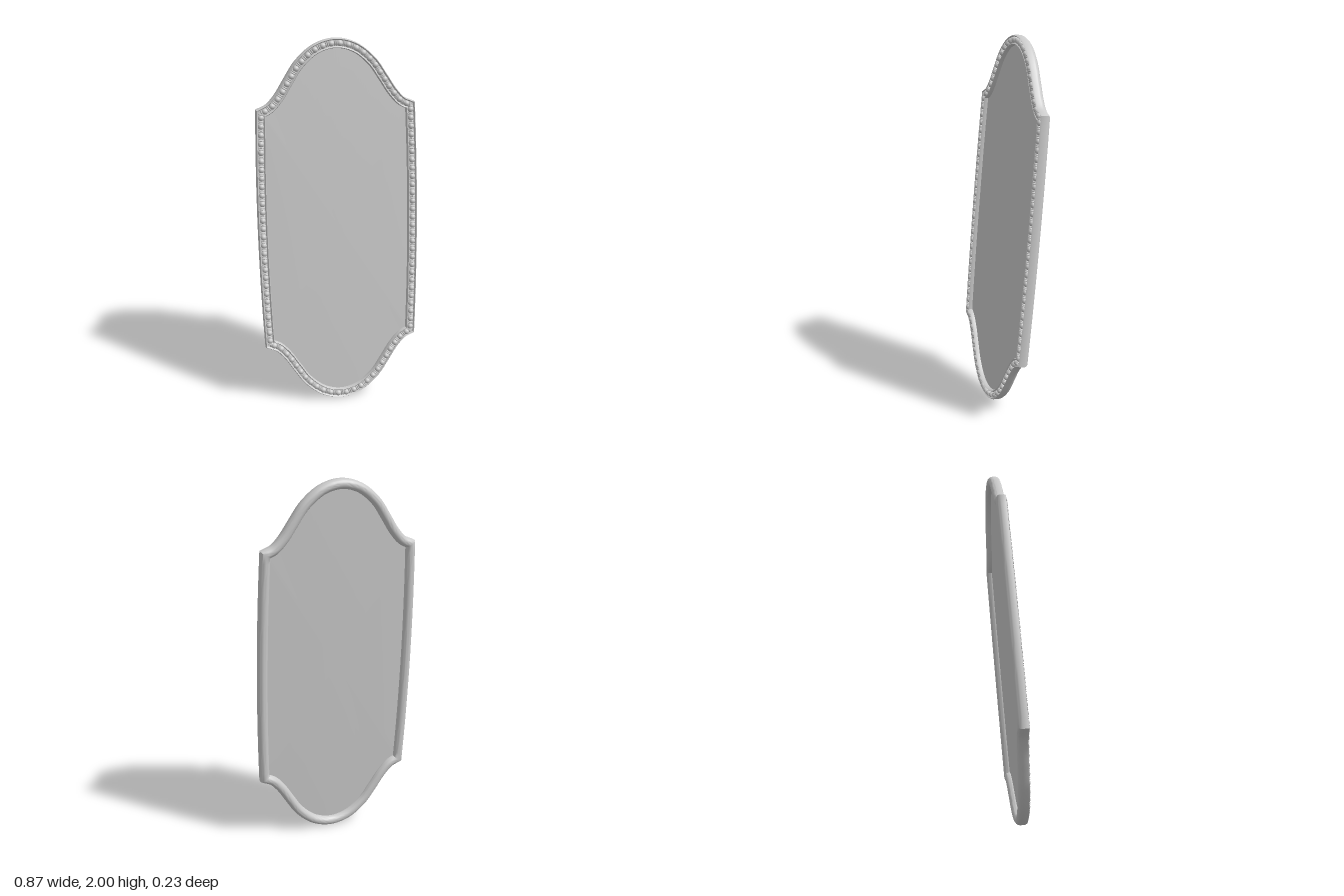
import * as THREE from 'three';
import { mergeGeometries, toCreasedNormals } from 'three/addons/utils/BufferGeometryUtils.js';

const V = (x, y) => new THREE.Vector3(x, y, 0);
const grey = () => new THREE.MeshStandardMaterial({ color: 0xcccccc });

// Centre line of the frame: bowed side and ogee arch; the other half is turned 180 degrees
const side = new THREE.QuadraticBezierCurve3(V(0.396, -0.637), V(0.422, 0), V(0.396, 0.637));
const half = [[0.396, 0.637], [0.35, 0.659], [0.3, 0.713], [0.25, 0.79], [0.19, 0.877], [0.1, 0.95]];
const arch = new THREE.CatmullRomCurve3([
  ...half.map(([x, y]) => V(x, y)),
  V(0, 0.975),
  ...half.slice().reverse().map(([x, y]) => V(-x, y)),
]);

function outline() {
  const pts = [
    ...side.getSpacedPoints(30).slice(0, -1),
    ...arch.getSpacedPoints(72).slice(0, -1),
  ];
  return [...pts, ...pts.map((p) => V(-p.x, -p.y))];
}

// Sweeps a closed profile (u outward, w forward) round the outline with mitred corners
function sweep(loop, profile) {
  const n = loop.length, m = profile.length, pos = [], index = [];
  for (let i = 0; i < n; i++) {
    const a = loop[i].clone().sub(loop[(i + n - 1) % n]).normalize();
    const b = loop[(i + 1) % n].clone().sub(loop[i]).normalize();
    const miter = V(a.y + b.y, -a.x - b.x).divideScalar(1 + a.dot(b));
    for (const [u, w] of profile) {
      pos.push(loop[i].x + miter.x * u, loop[i].y + miter.y * u, w);
    }
    for (let j = 0; j < m; j++) {
      const p = i * m + j, q = ((i + 1) % n) * m + j;
      const p2 = i * m + (j + 1) % m, q2 = ((i + 1) % n) * m + (j + 1) % m;
      index.push(p, q, p2, q, q2, p2);
    }
  }
  const g = new THREE.BufferGeometry();
  g.setAttribute('position', new THREE.Float32BufferAttribute(pos, 3));
  g.setIndex(index);
  return toCreasedNormals(g, 0.8);
}

// Shallow domed sheet filling the outline; dir = 1 faces forward, -1 backward
function dome(loop, dir) {
  const n = loop.length, rings = 8, pos = [0, 0, dir * 0.01], index = [];
  for (let k = 1; k <= rings; k++) {
    const s = k / rings;
    for (const p of loop) pos.push(p.x * s, p.y * s, dir * (0.002 + 0.008 * (1 - s * s)));
  }
  const tri = (a, b, c) => (dir > 0 ? index.push(a, b, c) : index.push(a, c, b));
  for (let i = 0; i < n; i++) {
    const i2 = (i + 1) % n;
    tri(0, 1 + i, 1 + i2);
    for (let k = 0; k < rings - 1; k++) {
      const a = 1 + k * n, b = a + n;
      tri(a + i, b + i, b + i2);
      tri(a + i, b + i2, a + i2);
    }
  }
  const g = new THREE.BufferGeometry();
  g.setAttribute('position', new THREE.Float32BufferAttribute(pos, 3));
  g.setIndex(index);
  g.computeVertexNormals();
  return g;
}

// Round beads with a pair of thin reels between neighbours
function beading() {
  const parts = [];
  const add = (curve, t, length, radius, turn) => {
    const p = curve.getPointAt(t), d = curve.getTangentAt(t);
    const g = new THREE.SphereGeometry(1, 12, 8);
    g.scale(length, radius, radius);
    g.rotateZ(Math.atan2(d.y, d.x));
    g.translate(p.x, p.y, 0.016);
    if (turn) g.rotateZ(Math.PI);
    parts.push(g);
  };
  for (const curve of [side, arch]) {
    const count = Math.round(curve.getLength() / 0.046);
    for (const turn of [false, true]) {
      for (let i = 0; i < count; i++) {
        add(curve, (i + 0.5) / count, 0.0165, 0.0155, turn);
        for (const e of [0.1, 0.9]) add(curve, (i + e) / count, 0.0045, 0.0145, turn);
      }
    }
  }
  return mergeGeometries(parts);
}

export function createModel() {
  const model = new THREE.Group();
  model.name = 'leaningMirror';
  const body = new THREE.Group();
  body.name = 'mirrorBody';
  const add = (name, geometry) => {
    const mesh = new THREE.Mesh(geometry, grey());
    mesh.name = name;
    body.add(mesh);
  };
  const loop = outline();

  // Frame: rounded back, channel between two lips at the front
  const profile = [[0.025, 0.017], [0.021, 0.024], [0.018, 0.022], [0.015, 0.012],
    [-0.015, 0.012], [-0.018, 0.022], [-0.021, 0.024], [-0.025, 0.017]];
  for (let i = 0; i <= 12; i++) {
    const a = Math.PI + (i / 12) * Math.PI;
    profile.push([0.026 * Math.cos(a), -0.006 + 0.0265 * Math.sin(a)]);
  }
  add('frame', sweep(loop, profile));
  add('beading', beading());

  // Mirror panel, front and back
  add('panelFront', dome(loop, 1));
  add('panelBack', dome(loop, -1));

  // Lean backwards and stand on the ground
  body.rotation.x = -0.085;
  body.position.y = 1;
  model.add(body);
  return model;
}
